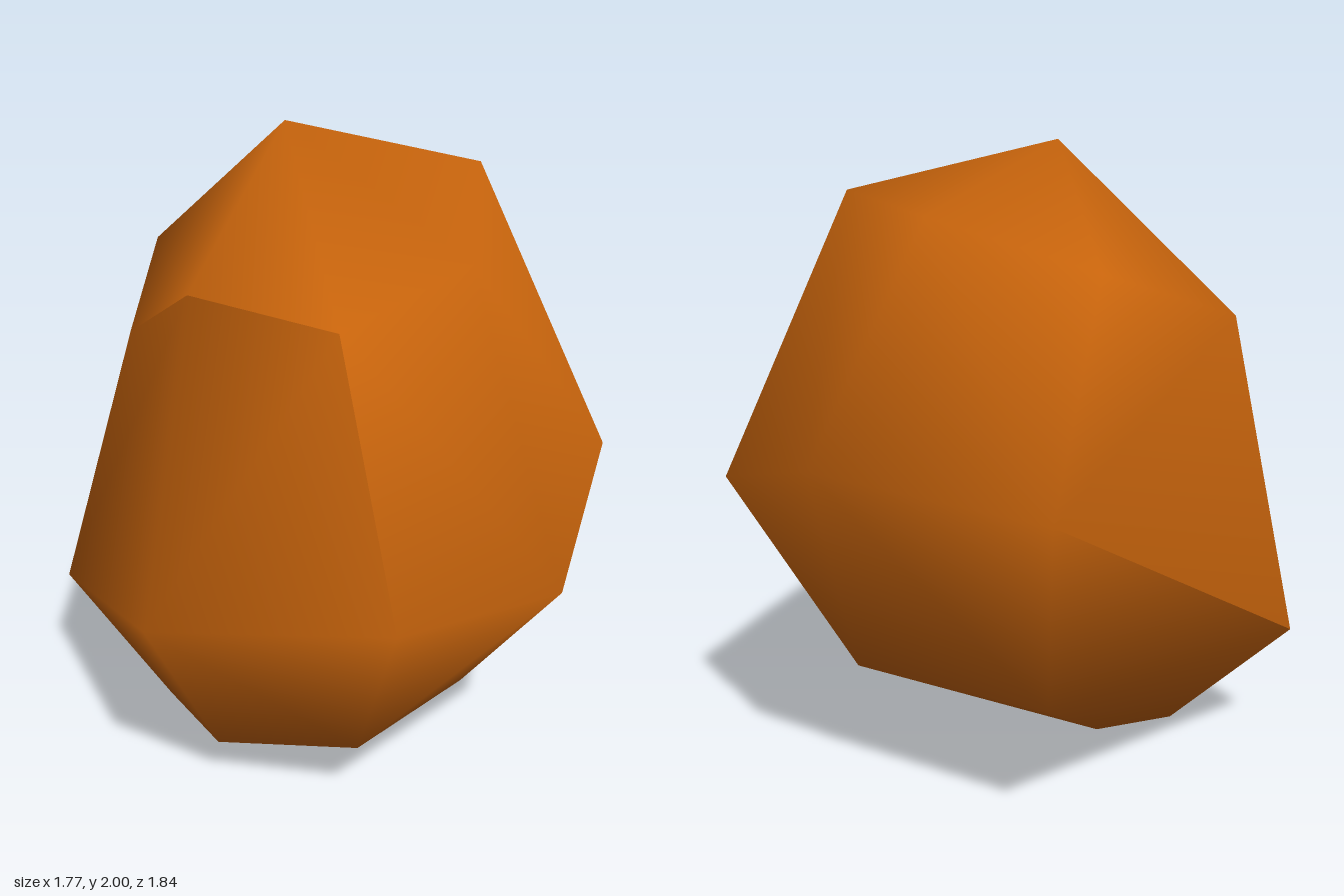
import * as THREE from 'three';
import { ConvexGeometry } from 'three/addons/geometries/ConvexGeometry.js';

// Corners of the boulder
const corners = {
  // crown
  crown: [-0.21, 2, -0.07], crownBack: [-0.14, 1.79, -0.74], crownLeftBack: [0.3, 1.85, -0.47],
  crownLeft: [0.51, 1.65, 0.06], crownFront: [-0.07, 1.64, 0.7], crownFrontLeft: [0.36, 1.57, 0.61],
  crownRight: [-0.85, 1.51, -0.23], crownRightBack: [-0.63, 1.65, -0.66], crownRightFront: [-0.57, 1.35, 0.32],
  // waist
  sideLeftBack: [0.77, 0.92, -0.53], sideLeft: [0.88, 0.69, 0.14], sideLeftFront: [0.6, 0.75, 0.71],
  front: [-0.12, 0.67, 0.92], sideRight: [-0.89, 0.39, 0.35],
  back: [0.15, 1.09, -0.92], backRight: [-0.57, 1.0, -0.82],
  // underside
  baseFront: [-0.05, 0.15, 0.66], baseFrontLeft: [0.4, 0.22, 0.56], baseLeft: [0.53, 0.23, 0.07],
  baseMiddle: [0.1, 0.05, 0.12], baseRight: [-0.48, 0, 0.32], baseRightBack: [-0.33, 0.04, 0.02],
  baseBackRight: [-0.48, 0.4, -0.66], baseBackLeft: [0.22, 0.385, -0.59],
};

// Ridges that stay sharp; every other edge is smooth
const ridges = [
  ['crown', 'crownLeftBack', 'sideLeftBack', 'sideLeft'],
  ['sideLeftBack', 'baseBackLeft'],
  ['sideLeftFront', 'crownFrontLeft', 'crownFront', 'crownRightFront', 'sideRight', 'backRight'],
];

const keyOf = (v) => v.toArray().map((n) => n.toFixed(3)).join();

function smoothBetweenRidges(geometry, sharp) {
  const pos = geometry.attributes.position;
  const points = [], keys = [], faceNormals = [], around = {};
  for (let i = 0; i < pos.count; i++) {
    points.push(new THREE.Vector3().fromBufferAttribute(pos, i));
    keys.push(keyOf(points[i]));
    (around[keys[i]] ??= []).push(i);
  }
  for (let i = 0; i < pos.count; i += 3) {
    const [a, b, c] = points.slice(i, i + 3);
    faceNormals.push(b.clone().sub(a).cross(c.clone().sub(a)));
  }
  // The two other corners of the triangle that holds corner i
  const others = (i) => [0, 1, 2].map((k) => i - (i % 3) + k).filter((k) => k !== i).map((k) => keys[k]);
  const normals = [];
  for (let i = 0; i < pos.count; i++) {
    // Walk over neighbouring faces about this corner without crossing a ridge
    const fan = [i];
    for (const f of fan) {
      for (const other of others(f)) {
        if (sharp.has(keys[i] + '|' + other)) continue;
        for (const g of around[keys[i]]) {
          if (!fan.includes(g) && others(g).includes(other)) fan.push(g);
        }
      }
    }
    const n = new THREE.Vector3();
    fan.forEach((f) => n.add(faceNormals[Math.floor(f / 3)]));
    normals.push(...n.normalize().toArray());
  }
  geometry.setAttribute('normal', new THREE.Float32BufferAttribute(normals, 3));
  return geometry;
}

export function createModel() {
  const group = new THREE.Group();
  group.name = 'boulder';

  const points = {};
  for (const name in corners) points[name] = new THREE.Vector3(...corners[name]);

  const sharp = new Set();
  for (const path of ridges) {
    for (let i = 1; i < path.length; i++) {
      const a = keyOf(points[path[i - 1]]), b = keyOf(points[path[i]]);
      sharp.add(a + '|' + b).add(b + '|' + a);
    }
  }

  // Single faceted stone
  const orangeStone = new THREE.MeshStandardMaterial({ color: 0xc8640c });
  orangeStone.name = 'orangeStone';
  const geometry = smoothBetweenRidges(new ConvexGeometry(Object.values(points)), sharp);
  const stone = new THREE.Mesh(geometry, orangeStone);
  stone.name = 'stone';
  group.add(stone);
  return group;
}
